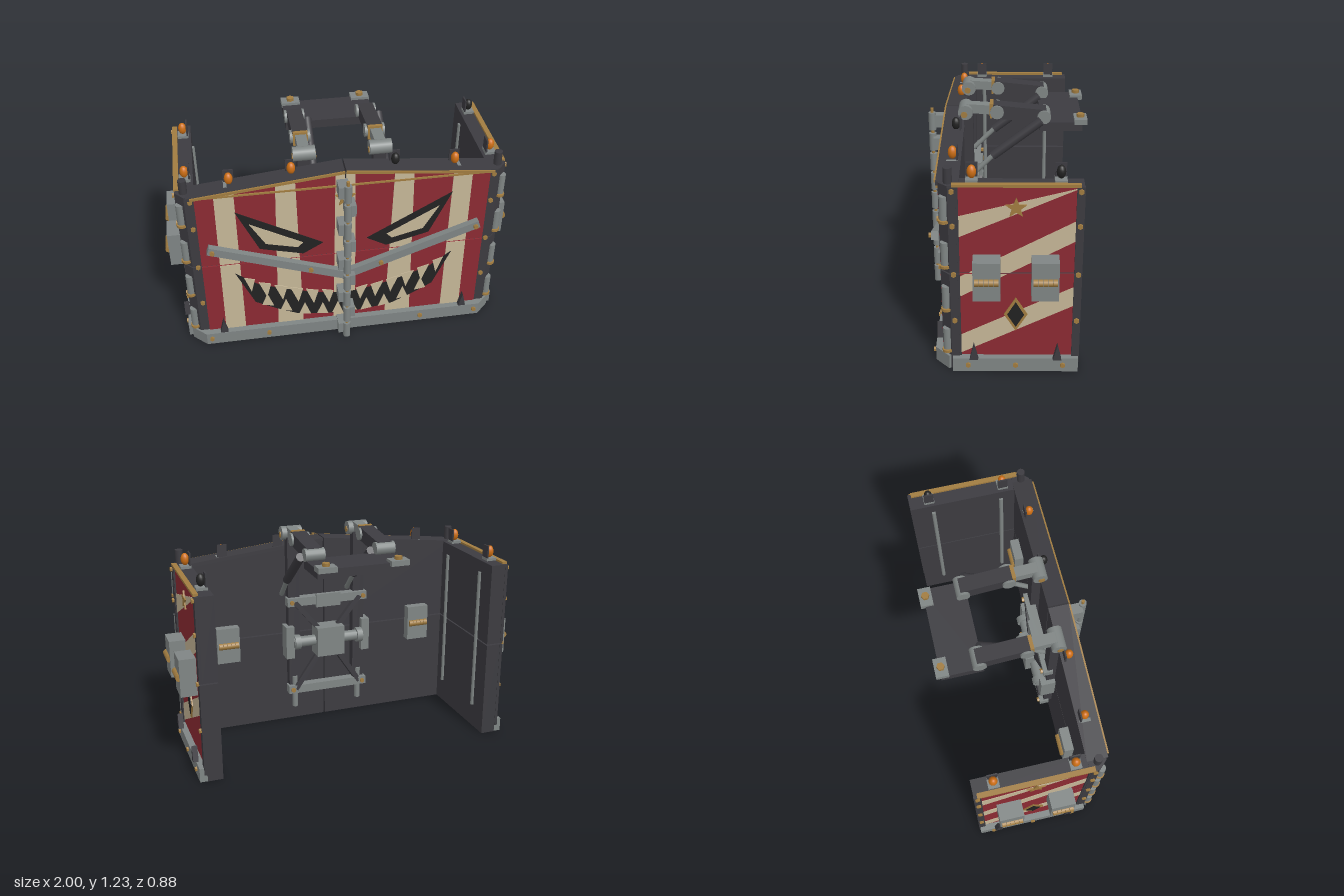
import * as THREE from 'three';

const paint = (name, color) => Object.assign(new THREE.MeshStandardMaterial({ color }), { name });
const V = (x, y, z) => new THREE.Vector3(x, y, z);
const UP = V(0, 1, 0);
const GAP = 0.57; // height of the split between lower and upper panels

export function createModel() {
  const dark = paint('dark iron', 0x3c3b40), steel = paint('grey steel', 0x7f8584);
  const red = paint('red paint', 0x8c2a33), cream = paint('cream paint', 0xc6b798);
  const black = paint('black paint', 0x222222), gold = paint('brass', 0xa17c40);
  const orange = paint('orange glass', 0xcc6e14);
  const root = new THREE.Group();
  root.name = 'foldingShield';

  // ---- helpers ----
  const add = (parent, name, geo, mat, x = 0, y = 0, z = 0) => {
    const m = new THREE.Mesh(geo, mat);
    m.name = name;
    m.position.set(x, y, z);
    parent.add(m);
    return m;
  };
  // box given by its min and max corners
  const box = (p, name, mat, x0, x1, y0, y1, z0, z1) => add(p, name,
    new THREE.BoxGeometry(x1 - x0, y1 - y0, z1 - z0), mat, (x0 + x1) / 2, (y0 + y1) / 2, (z0 + z1) / 2);
  // box split by the horizontal seam
  const splitBox = (p, name, mat, x0, x1, y0, y1, z0, z1) => {
    box(p, name + 'Lower', mat, x0, x1, y0, GAP - 0.004, z0, z1);
    box(p, name + 'Upper', mat, x0, x1, GAP + 0.004, y1, z0, z1);
  };
  const shapeOf = pts => new THREE.Shape(pts.map(([x, y]) => new THREE.Vector2(x, y)));
  const plate = (p, name, mat, pts, z, depth = 0.004) => add(p, name,
    new THREE.ExtrudeGeometry(shapeOf(pts), { depth, bevelEnabled: false }), mat, 0, 0, z);
  // keep the part of a polygon on one side of a height
  const clip = (pts, h, s) => pts.flatMap((a, i) => {
    const b = pts[(i + 1) % pts.length], da = (a[1] - h) * s, db = (b[1] - h) * s, out = [];
    if (da >= 0) out.push(a);
    if (da * db < 0) out.push([a[0] + (b[0] - a[0]) * da / (da - db), h]);
    return out;
  });
  const splitPlate = (p, name, mat, pts, z, depth) => {
    const lo = clip(pts, GAP - 0.004, -1), hi = clip(pts, GAP + 0.004, 1);
    if (lo.length > 2) plate(p, name + 'Lower', mat, lo, z, depth);
    if (hi.length > 2) plate(p, name + 'Upper', mat, hi, z, depth);
  };
  const mirror = (pts, s) => pts.map(([x, y]) => [x * s, y]);
  const between = (p, name, mat, a, b, geoOf) => {
    const d = b.clone().sub(a), m = add(p, name, geoOf(d.length()), mat);
    m.position.copy(a).add(b).multiplyScalar(0.5);
    m.quaternion.setFromUnitVectors(UP, d.normalize());
    return m;
  };
  const rod = (p, name, mat, a, b, r, n = 16) =>
    between(p, name, mat, a, b, l => new THREE.CylinderGeometry(r, r, l, n));
  const beam = (p, name, mat, a, b, w, d) =>
    between(p, name, mat, a, b, l => new THREE.BoxGeometry(w, l, d));
  const hex = new THREE.CylinderGeometry(0.014, 0.014, 0.016, 6).toNonIndexed();
  hex.computeVertexNormals();
  const bolt = (p, x, y, z) => { add(p, 'bolt', hex, gold, x, y, z).rotation.x = Math.PI / 2; };
  const star = (p, x, y, z, r) => plate(p, 'star', gold, Array.from({ length: 10 }, (_, i) => {
    const a = Math.PI / 2 + i * Math.PI / 5, q = i % 2 ? r * 0.42 : r;
    return [x + q * Math.cos(a), y + q * Math.sin(a)];
  }), z, 0.009);
  const spike = (p, x, z) => plate(p, 'spike', dark, [[x - 0.022, 0.08], [x + 0.022, 0.08], [x, 0.17]], z, 0.03);
  const lamp = (p, x, y, z, mat) => {
    box(p, 'lampBase', steel, x - 0.03, x + 0.03, y - 0.05, y - 0.035, z - 0.03, z + 0.03);
    box(p, 'lampBracket', dark, x - 0.028, x + 0.028, y - 0.04, y + 0.038, z - 0.028, z - 0.02);
    add(p, 'lamp', new THREE.SphereGeometry(0.023, 14, 10), mat, x, y, z).scale.y = 1.5;
  };
  // grey latch box with a ribbed brass grip on its +z face
  const latch = (p, x, y, z0, z1) => {
    box(p, 'latchBox', steel, x - 0.068, x + 0.068, y - 0.107, y + 0.107, z0, z1);
    for (let i = -2; i <= 2; i++) rod(p, 'latchRib', gold, V(x + i * 0.024 - 0.011, y, z1), V(x + i * 0.024 + 0.011, y, z1), 0.02, 10);
  };

  // ---- front wall, both halves ----
  const front = new THREE.Group();
  front.name = 'frontWall';
  root.add(front);
  const topY = x => 1.125 - 0.1 * Math.abs(x);
  for (const s of [-1, 1]) {
    const P = pts => mirror(pts, s);
    splitPlate(front, 'frontSlab', dark, P([[0.004, 0], [0.83, 0], [0.83, topY(0.83)], [0.004, topY(0)]]), 0.225, 0.095);
    splitPlate(front, 'frontPanel', red, P([[0.004, 0.08], [0.8, 0.08], [0.8, topY(0.8)], [0.004, topY(0)]]), 0.32, 0.008);
    for (const [c, t, b] of [[0.32, 0.053, 0.075], [0.645, 0.053, 0.058]])
      splitPlate(front, 'frontStripe', cream, P([[c - b, 0.08], [c + b, 0.08], [c + t, topY(c + t)], [c - t, topY(c - t)]]), 0.327);
    splitPlate(front, 'middleStripe', cream, P([[0.004, 0.08], [0.065, 0.08], [0.053, topY(0.053)], [0.004, topY(0)]]), 0.327);
    // roof edge and brass trims
    plate(front, 'roofCap', dark, P([[0.004, 1.118], [0.84, 1.03], [0.84, 1.05], [0.004, 1.138]]), 0.222, 0.113);
    plate(front, 'roofTrim', gold, P([[0.004, 1.122], [0.82, 1.036], [0.82, 1.05], [0.004, 1.137]]), 0.332, 0.012);
    plate(front, 'crossTrim', gold, P([[0.004, 1.036], [0.8, 1.036], [0.8, 1.046], [0.004, 1.046]]), 0.327, 0.009);
    // eyes
    plate(front, 'eyeRim', black, P([[0.594, 0.93], [0.123, 0.665], [0.235, 0.6], [0.475, 0.665]]), 0.331);
    plate(front, 'eye', cream, P([[0.525, 0.845], [0.235, 0.682], [0.265, 0.652], [0.44, 0.698]]), 0.334);
    // mouth with upper and lower teeth
    const lip = [[0.62, 0.5], [0.5, 0.405], [0.35, 0.345], [0.18, 0.295], [0.005, 0.265]];
    const chin = [[0.005, 0.112], [0.12, 0.117], [0.28, 0.142], [0.4, 0.2], [0.52, 0.27]];
    plate(front, 'mouth', black, P([...lip, ...chin]), 0.331);
    for (const [x, y, h, w] of [[0.545, 0.445, 0.09, 0.03], [0.46, 0.4, 0.1, 0.035], [0.37, 0.365, 0.1, 0.037],
      [0.28, 0.335, 0.1, 0.037], [0.19, 0.31, 0.1, 0.037], [0.1, 0.295, 0.09, 0.035]])
      plate(front, 'upperTooth', cream, P([[x - w, y], [x + w, y + 0.02], [x - 0.008, y - h]]), 0.334);
    for (const [x, y] of [[0.45, 0.235], [0.345, 0.178], [0.235, 0.135], [0.13, 0.12], [0.04, 0.114]])
      plate(front, 'lowerTooth', cream, P([[x - 0.034, y - 0.006], [x + 0.034, y + 0.006], [x, y + 0.09]]), 0.334);
    // diagonal strap
    plate(front, 'strap', steel, P([[0.005, 0.41], [0.765, 0.69], [0.75, 0.735], [0.005, 0.465]]), 0.337, 0.036);
    bolt(front, s * 0.2, 0.51, 0.38);
    bolt(front, s * 0.735, 0.703, 0.38);
    // skirt, spikes and bolts
    const skirt = [[0.004, 0.32], [0.004, 0.365], [0.82, 0.365], [0.9, 0.29], [0.87, 0.26]].map(([x, z]) => [s * x, -z]);
    const sk = plate(front, 'frontSkirt', steel, skirt, 0, 0.08);
    sk.rotation.x = -Math.PI / 2;
    spike(front, s * 0.715, 0.333);
    for (const x of [0.455, 0.79]) bolt(front, s * x, 0.045, 0.37);
    for (const y of [0.3, 0.57, 0.84, 1.02]) bolt(front, s * 0.82, y, 0.327);
    lamp(front, s * 0.61, 1.108, 0.265, orange);
    lamp(front, s * 0.28, 1.138, 0.265, s < 0 ? orange : black);
    // chamfered corner posts
    for (const [y, h] of [[0, GAP - 0.004], [GAP + 0.004, 0.476]]) {
      const plan = [[0.79, 0.225], [0.79, 0.323], [0.85, 0.323], [0.895, 0.275], [0.895, 0.225]].map(([x, z]) => [s * x, -z]);
      const post = plate(front, 'cornerPost', dark, plan, 0, h);
      post.rotation.x = -Math.PI / 2;
      post.position.y = y;
    }
    // corner hinges
    for (let i = 0; i < 4; i++) {
      const y = 0.18 + i * 0.25;
      rod(front, 'cornerHinge', steel, V(s * 0.877, y - 0.062, 0.297), V(s * 0.877, y + 0.062, 0.297), 0.022);
      rod(front, 'hingeRing', gold, V(s * 0.877, y - 0.08, 0.297), V(s * 0.877, y - 0.066, 0.297), 0.028);
    }
    rod(front, 'cornerFinial', dark, V(s * 0.85, 1.04, 0.275), V(s * 0.85, 1.13, 0.275), 0.022, 12);
    // latch on the inner face
    const inner = new THREE.Group();
    inner.name = 'innerLatch';
    inner.rotation.y = Math.PI;
    root.add(inner);
    latch(inner, s * 0.61, 0.55, -0.225, -0.172);
  }
  star(front, 0, 0.965, 0.331, 0.06);

  // middle hinge
  rod(front, 'hingePin', gold, V(0, 0.01, 0.418), V(0, 1.125, 0.418), 0.009, 10);
  for (let i = 0; i < 9; i++) {
    const y = 0.055 + i * 0.124, s = i % 2 ? 1 : -1;
    rod(front, 'hingeKnuckle', steel, V(0, y - 0.052, 0.418), V(0, y + 0.052, 0.418), 0.021);
    box(front, 'hingeLeaf', steel, s * 0.018 - 0.03, s * 0.018 + 0.03, y - 0.036, y + 0.036, 0.325, 0.412);
  }

  // ---- side walls, drawn facing +z and turned outward ----
  for (const s of [-1, 1]) {
    const side = new THREE.Group();
    side.name = s > 0 ? 'leftWall' : 'rightWall';
    side.rotation.y = s * Math.PI / 2;
    side.position.z = -0.055;
    root.add(side);
    splitBox(side, 'sideSlab', dark, -0.328, 0.328, 0, 1.048, 0.795, 0.88);
    splitBox(side, 'sidePanel', red, -0.29, 0.29, 0.08, 1.046, 0.88, 0.886);
    for (const [a, b, c, d] of [[0.77, 1.03, 1.034, 0.885], [0.43, 0.75, 0.86, 0.545], [0.09, 0.38, 0.49, 0.2]])
      splitPlate(side, 'sideStripe', cream, [[-0.29, a], [0.29, b], [0.29, c], [-0.29, d]], 0.885);
    box(side, 'topTrim', gold, -0.31, 0.31, 1.046, 1.06, 0.872, 0.9);
    box(side, 'sideSkirt', steel, -0.325, 0.325, 0, 0.08, 0.87, 0.922);
    star(side, 0, 0.935, 0.888, 0.055);
    plate(side, 'diamondRim', gold, [[0, 0.235], [0.06, 0.333], [0, 0.432], [-0.06, 0.333]], 0.889, 0.007);
    plate(side, 'diamond', black, [[0, 0.26], [0.043, 0.333], [0, 0.407], [-0.043, 0.333]], 0.895);
    for (const e of [-1, 1]) {
      splitBox(side, 'edgeStrip', dark, e * 0.31 - 0.02, e * 0.31 + 0.02, 0.04, 1.046, 0.88, 0.897);
      for (const y of [0.3, 0.57, 0.84, 1.025]) bolt(side, e * 0.31, y, 0.901);
      latch(side, e * 0.145, 0.57, 0.885, 0.978);
      spike(side, e * 0.215, 0.908);
      lamp(side, e * 0.215, 1.103, 0.838, s > 0 && e > 0 ? black : orange);
      rod(side, 'innerRail', steel, V(e * 0.2, 0.14, 0.793), V(e * 0.2, 0.98, 0.793), 0.012, 10);
    }
    for (const u of [-0.245, 0, 0.245]) bolt(side, u, 0.042, 0.925);
  }

  // ---- carrying frame behind the front wall ----
  const frame = new THREE.Group();
  frame.name = 'carryFrame';
  root.add(frame);
  const hub = V(0, 0.53, 0.15);
  box(frame, 'hubBox', steel, -0.085, 0.085, 0.44, 0.62, 0.09, 0.2);
  for (const y of [0.22, 0.78]) box(frame, 'crossBar', steel, -0.25, 0.25, y - 0.025, y + 0.025, 0.15, 0.205);
  box(frame, 'barClamp', steel, -0.075, 0.075, 0.74, 0.82, 0.135, 0.16);
  for (const s of [-1, 1]) {
    const x = s * 0.205;
    rod(frame, 'hubAxle', steel, hub, V(s * 0.22, 0.53, 0.15), 0.032);
    rod(frame, 'axleCollar', steel, V(s * 0.18, 0.53, 0.15), V(s * 0.215, 0.53, 0.15), 0.045);
    box(frame, 'axlePlate', steel, s * 0.24 - 0.025, s * 0.24 + 0.025, 0.43, 0.63, 0.14, 0.225);
    for (const y of [0.22, 0.78]) {
      beam(frame, 'brace', dark, hub, V(x, y, 0.165), 0.03, 0.03);
      for (const q of [-1, 1]) bolt(frame, q * 0.225, y, 0.145);
    }
    rod(frame, 'footRod', steel, V(x, 0.1, 0.18), V(x, 0.3, 0.18), 0.017, 10);
    box(frame, 'upright', dark, x - 0.035, x + 0.035, 0.22, 1.17, 0.175, 0.225);
    // shoulder, link, arm and elbow
    rod(frame, 'shoulderJoint', steel, V(x - 0.06, 1.19, 0.215), V(x + 0.06, 1.19, 0.215), 0.04);
    rod(frame, 'shoulderPin', gold, V(x - 0.064, 1.18, 0.222), V(x + 0.064, 1.18, 0.222), 0.018, 8);
    beam(frame, 'shoulderLink', steel, V(x, 1.205, 0.21), V(x, 1.195, 0.05), 0.06, 0.05);
    rod(frame, 'armJoint', steel, V(x - 0.055, 1.19, 0.046), V(x + 0.055, 1.19, 0.046), 0.037);
    beam(frame, 'armBand', gold, V(x, 1.193, 0.085), V(x, 1.193, 0.065), 0.08, 0.082);
    beam(frame, 'arm', dark, V(x, 1.192, 0.07), V(x, 1.163, -0.215), 0.085, 0.075);
    rod(frame, 'elbowJoint', steel, V(x - 0.056, 1.163, -0.207), V(x + 0.056, 1.163, -0.207), 0.037);
    // slanted piston beside the arm
    const px = x + 0.07, top = V(px, 1.15, -0.19), mid = V(px, 0.95, 0.07), low = V(px, 0.83, 0.19);
    rod(frame, 'pistonBody', dark, top, mid, 0.025);
    rod(frame, 'pistonRod', steel, mid, low, 0.014, 12);
    // shoulder pad fittings
    box(frame, 'padBlock', steel, x - 0.053, x + 0.053, 1.12, 1.15, -0.44, -0.37);
    rod(frame, 'padKnob', gold, V(x, 1.15, -0.405), V(x, 1.168, -0.405), 0.022, 6);
  }
  box(frame, 'shoulderPad', dark, -0.255, 0.255, 1.085, 1.135, -0.415, -0.185);
  return root;
}
